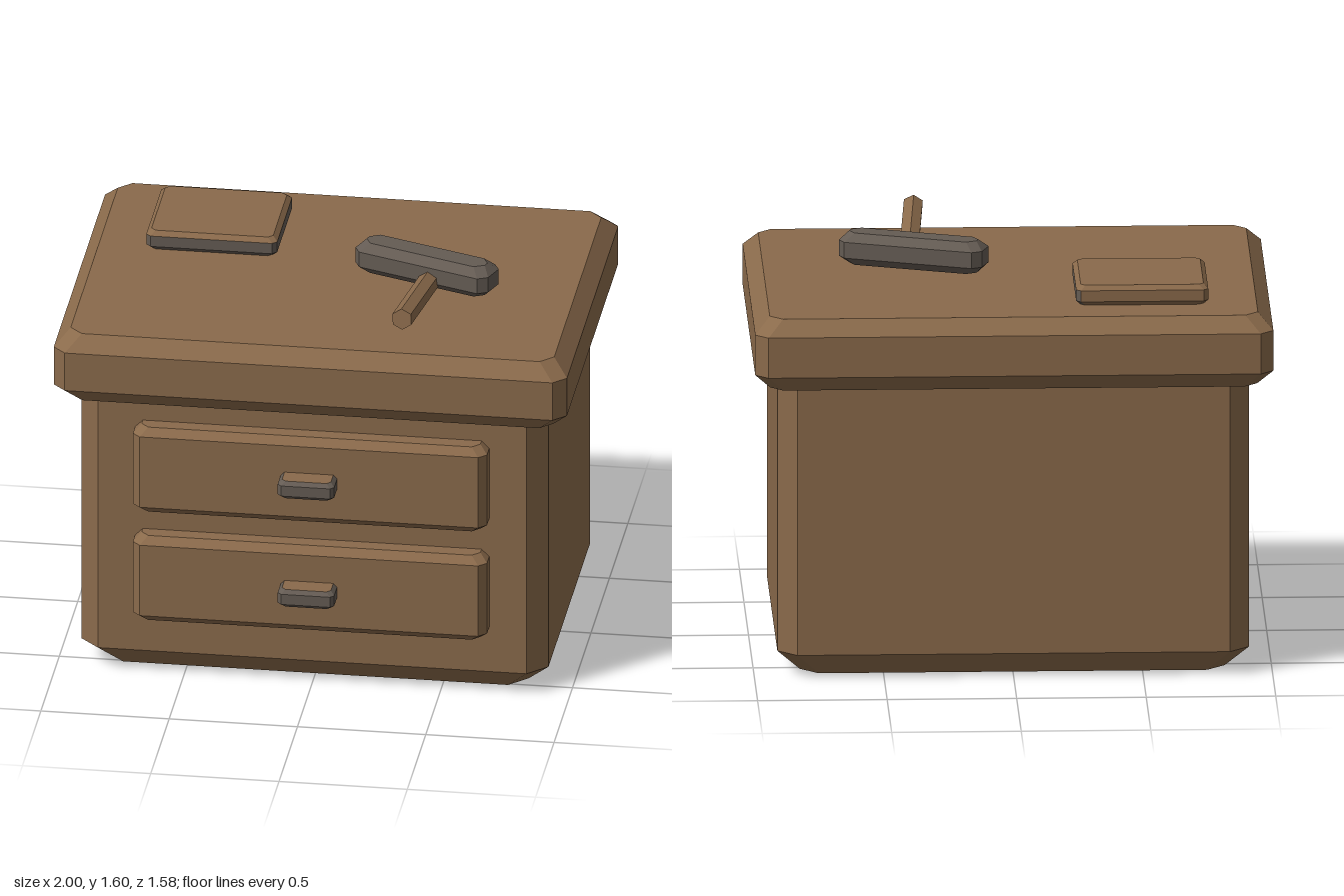
import * as THREE from 'three';

const wood = new THREE.MeshStandardMaterial({ name: 'brownWood', color: 0x8a6a4b });
const iron = new THREE.MeshStandardMaterial({ name: 'greyIron', color: 0x645b53 });

// Chamfered block from stacked eight-sided sections [y, inset, corner];
// isIron(normal) chooses the colour of each flat face.
function block(name, w, d, sections, isIron) {
  const rings = sections.map(([y, inset, c]) => {
    const a = w / 2 - inset, b = d / 2 - inset;
    return [[a, b - c], [a, c - b], [a - c, -b], [c - a, -b], [-a, c - b], [-a, b - c], [c - a, b], [a - c, b]]
      .map(([x, z]) => new THREE.Vector3(x, y, z));
  });
  const faces = [rings[0].slice().reverse(), rings[rings.length - 1]];
  for (let r = 0; r < rings.length - 1; r++) {
    for (let i = 0; i < 8; i++) {
      const j = (i + 1) % 8;
      faces.push([rings[r][i], rings[r][j], rings[r + 1][j], rings[r + 1][i]]);
    }
  }
  const points = [];
  const geometry = new THREE.BufferGeometry();
  const normal = new THREE.Vector3();
  for (const f of faces) {
    const start = points.length;
    for (let i = 1; i < f.length - 1; i++) points.push(f[0], f[i], f[i + 1]);
    new THREE.Triangle(f[0], f[1], f[2]).getNormal(normal);
    geometry.addGroup(start, points.length - start, isIron(normal) ? 1 : 0);
  }
  geometry.setFromPoints(points);
  geometry.computeVertexNormals();
  const mesh = new THREE.Mesh(geometry, [wood, iron]);
  mesh.name = name;
  return mesh;
}

// Evenly bevelled block standing on its own base
const bevelled = (name, w, h, d, b, isIron) =>
  block(name, w, d, [[0, b, b], [b, 0, b], [h - b, 0, b], [h, b, b]], isIron);

const allWood = () => false;
const allIron = () => true;

export function createModel() {
  const model = new THREE.Group();
  model.name = 'workbench';
  const add = (mesh, x, y, z) => {
    mesh.position.set(x, y, z);
    model.add(mesh);
    return mesh;
  };

  // Cabinet and overhanging worktop
  add(block('cabinet', 1.82, 1.28, [[0, 0.09, 0.07], [0.095, 0, 0.075], [1.2, 0, 0.075]], allWood), 0, 0, -0.04);
  add(block('worktop', 2, 1.49,
    [[1.165, 0.06, 0.05], [1.23, 0, 0.05], [1.39, 0, 0.05], [1.45, 0.058, 0.05]], allWood), 0, 0, -0.045);

  // Drawers with their pulls
  for (const y of [0.255, 0.717]) {
    add(bevelled('drawer', 1.38, 0.36, 0.19, 0.03, allWood), 0, y, 0.595);
    add(bevelled('drawerPull', 0.22, 0.073, 0.125, 0.015, n => n.y < 0.9), 0, y + 0.145, 0.7225);
  }

  // Flat plate lying on the worktop: metal front and left edges
  add(bevelled('plate', 0.51, 0.08, 0.44, 0.018,
    n => n.y < 0.3 && (n.x > 0.3 || n.z > 0.3)), -0.5, 1.45, -0.358);

  // Hammer head and tilted handle
  const head = add(bevelled('hammerHead', 0.58, 0.127, 0.15, 0.032, allIron), 0.362, 1.462, 0.003);
  head.rotation.y = -THREE.MathUtils.degToRad(20);

  const from = new THREE.Vector3(0.382, 1.49, 0.04);
  const to = new THREE.Vector3(0.345, 1.56, 0.57);
  const axis = to.clone().sub(from);
  const shape = new THREE.CylinderGeometry(0.042, 0.042, axis.length(), 6).toNonIndexed();
  shape.computeVertexNormals();
  const handle = new THREE.Mesh(shape, wood);
  handle.name = 'hammerHandle';
  handle.quaternion.setFromUnitVectors(new THREE.Vector3(0, 1, 0), axis.normalize());
  const mid = from.add(to).multiplyScalar(0.5);
  add(handle, mid.x, mid.y, mid.z);

  return model;
}
